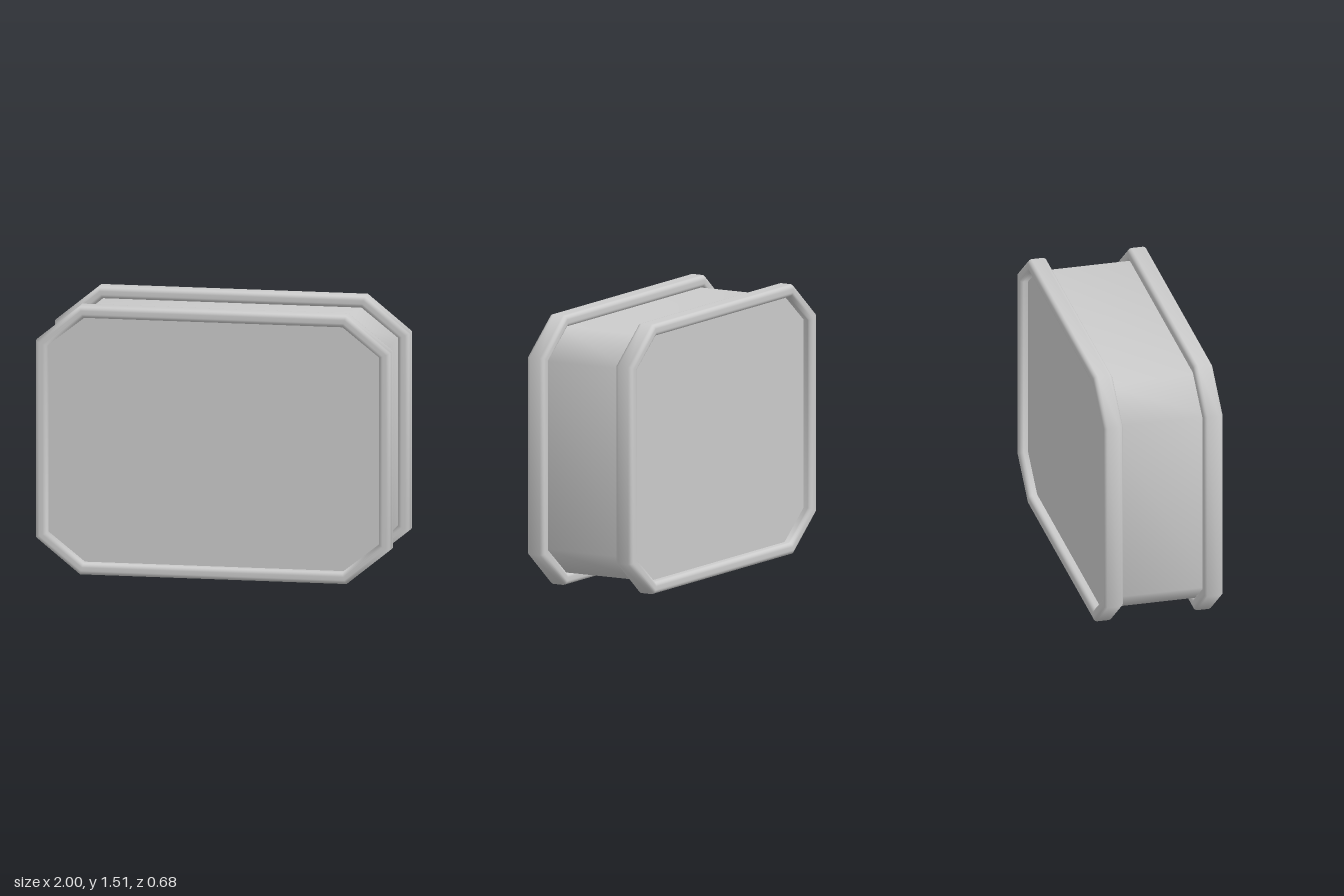
import * as THREE from 'three';

const material = new THREE.MeshStandardMaterial({ color: 0xcccccc });
const MID_Y = 0.7575; // centre height of the octagon
const RIM = 0.067; // how far the rim stands out from the body
const RIM_Z = 0.285; // centre of each rim
const RIM_HALF = 0.055;
const FACE_Z = 0.29; // recessed end faces

// Chamfered rectangle, counter-clockwise from the front, k = 0 body size, 1 = outer rim size
function octagon(k) {
  const w = 0.933 + RIM * k, h = 0.6905 + RIM * k;
  const cx = 0.728 + 0.022 * k, cy = 0.528 + 0.0265 * k;
  return [
    [w, -cy], [w, cy], [cx, h], [-cx, h],
    [-w, cy], [-w, -cy], [-cx, -h], [cx, -h],
  ].map(([x, y]) => [x, y + MID_Y]);
}

// Carry a profile of [k, z] points around the octagon, with smooth normals
function sweep(profile, closed) {
  const positions = [], index = [], n = 8, m = profile.length;
  for (const [k, z] of profile) {
    for (const [x, y] of octagon(k)) positions.push(x, y, z);
  }
  for (let i = 0; i < (closed ? m : m - 1); i++) {
    for (let j = 0; j < n; j++) {
      const i2 = (i + 1) % m, j2 = (j + 1) % n;
      const a = i * n + j, b = i * n + j2, c = i2 * n + j2, d = i2 * n + j;
      index.push(a, b, c, a, c, d);
    }
  }
  const geometry = new THREE.BufferGeometry();
  geometry.setAttribute('position', new THREE.Float32BufferAttribute(positions, 3));
  geometry.setIndex(index);
  geometry.computeVertexNormals();
  return geometry;
}

// Rounded rectangle cross-section of the rim
function rimProfile() {
  const r = 0.024, steps = 5, points = [];
  const corners = [[1, 1], [-1, 1], [-1, -1], [1, -1]];
  corners.forEach(([su, sz], q) => {
    for (let s = 0; s <= steps; s++) {
      const a = (q + s / steps) * Math.PI / 2;
      const u = RIM / 2 + su * (RIM / 2 - r) + r * Math.cos(a);
      points.push([u / RIM, sz * (RIM_HALF - r) + r * Math.sin(a)]);
    }
  });
  return points;
}

export function createModel() {
  const group = new THREE.Group();
  const add = (name, geometry) => {
    const mesh = new THREE.Mesh(geometry, material);
    mesh.name = name;
    group.add(mesh);
    return mesh;
  };

  // Body wall between the two faces
  add('bodyWall', sweep([[0, -FACE_Z], [0, FACE_Z]], false));

  // Flat end faces and the rims around them
  const face = new THREE.ShapeGeometry(
    new THREE.Shape(octagon(0).map(([x, y]) => new THREE.Vector2(x, y))));
  const rim = sweep(rimProfile(), true);
  for (const [side, sign] of [['front', 1], ['back', -1]]) {
    const panel = add(side + 'Panel', face);
    panel.position.z = sign * FACE_Z;
    if (sign < 0) panel.rotation.y = Math.PI;
    add(side + 'Rim', rim).position.z = sign * RIM_Z;
  }
  return group;
}
